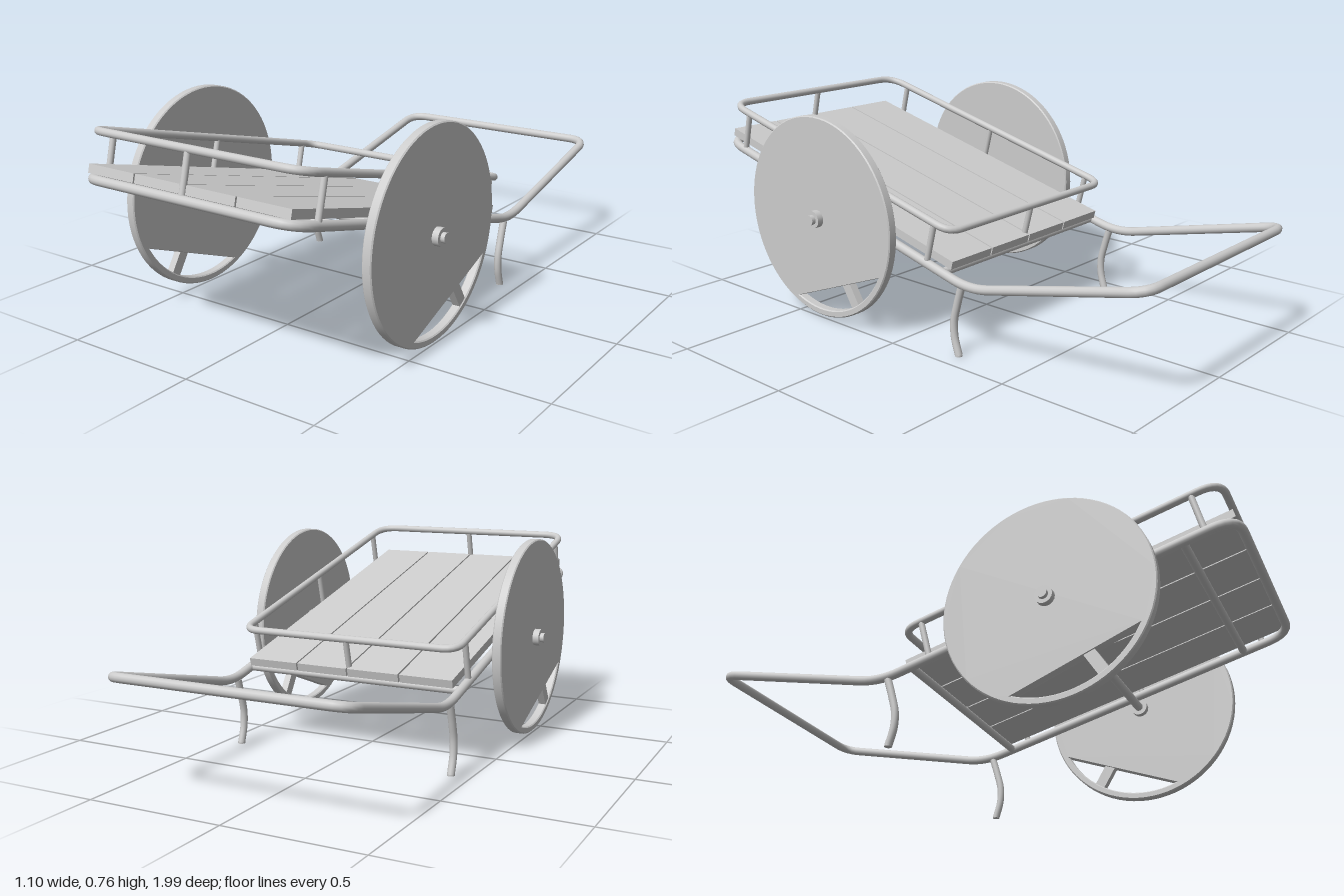
import * as THREE from 'three';
import { toCreasedNormals } from 'three/addons/utils/BufferGeometryUtils.js';

const grey = new THREE.MeshStandardMaterial({ color: 0xcccccc });
const V = (x, y, z) => new THREE.Vector3(x, y, z);

function add(parent, geometry, name) {
  const mesh = new THREE.Mesh(geometry, grey);
  mesh.name = name;
  parent.add(mesh);
  return mesh;
}

// Straight round bar between two points
function bar(parent, a, b, radius, name) {
  const mesh = add(parent, new THREE.CylinderGeometry(radius, radius, a.distanceTo(b), 16), name);
  mesh.position.copy(a).add(b).multiplyScalar(0.5);
  mesh.quaternion.setFromUnitVectors(V(0, 1, 0), b.clone().sub(a).normalize());
  return mesh;
}

// Closed bent pipe through corner points, each corner rounded by its own radius
function pipeLoop(parent, corners, radius, name) {
  const n = corners.length;
  const path = new THREE.CurvePath();
  const toward = (p, q, d) => p.clone().add(q.clone().sub(p).setLength(d));
  const bends = corners.map(([p, r], i) => {
    const prev = corners[(i + n - 1) % n][0], next = corners[(i + 1) % n][0];
    return [toward(p, prev, r), p, toward(p, next, r)];
  });
  bends.forEach(([a, p, b], i) => {
    path.add(new THREE.QuadraticBezierCurve3(a, p, b));
    path.add(new THREE.LineCurve3(b, bends[(i + 1) % n][0]));
  });
  return add(parent, new THREE.TubeGeometry(path, 260, radius, 14, true), name);
}

// Disc wheel with one open segment near the rim, crossed by a spoke
function makeWheel() {
  const wheel = new THREE.Group();
  const bevel = 0.004, width = 0.035;
  const shape = new THREE.Shape().absarc(0, 0, 0.372 - bevel, 0, Math.PI * 2);
  const opening = new THREE.Path();
  const from = THREE.MathUtils.degToRad(-112), to = THREE.MathUtils.degToRad(-26);
  opening.absarc(0, 0, 0.35, from, to);
  opening.closePath();
  shape.holes.push(opening);
  const disc = new THREE.ExtrudeGeometry(shape, {
    depth: width - 2 * bevel, bevelEnabled: true, bevelSize: bevel,
    bevelThickness: bevel, bevelSegments: 1, curveSegments: 40,
  });
  disc.translate(0, 0, bevel - width / 2);
  add(wheel, toCreasedNormals(disc, 0.5), 'wheelDisc');

  const spoke = add(wheel, new THREE.BoxGeometry(0.12, 0.04, 0.028), 'wheelSpoke');
  const angle = THREE.MathUtils.degToRad(-58);
  spoke.position.set(Math.cos(angle) * 0.295, Math.sin(angle) * 0.295, 0);
  spoke.rotation.z = angle;

  // Hub barrel and axle nut
  bar(wheel, V(0, 0, -0.041), V(0, 0, 0.041), 0.032, 'hub');
  bar(wheel, V(0, 0, 0.03), V(0, 0, 0.056), 0.018, 'axleNut');
  return wheel;
}

export function createModel() {
  const cart = new THREE.Group();
  cart.name = 'handCart';
  const side = 0.429, axleY = 0.387, axleZ = 0.362;

  // Lower frame pipe running on into the pull handle
  pipeLoop(cart, [
    [V(side, 0.575, 0.98), 0.09], [V(side, 0.25, -0.30), 0.08], [V(side, 0.408, -0.982), 0.07],
    [V(-side, 0.408, -0.982), 0.07], [V(-side, 0.25, -0.30), 0.08], [V(-side, 0.575, 0.98), 0.09],
  ], 0.0165, 'frameAndHandle');

  // Sloping bed: local z runs along the frame, local y is square to it
  const bed = new THREE.Group();
  bed.name = 'bed';
  bed.position.set(0, 0.4176, 0.36);
  bed.rotation.x = -Math.atan(0.254);
  cart.add(bed);

  const front = 0.637, back = -0.55, railY = 0.154;
  pipeLoop(bed, [
    [V(side, railY, front), 0.08], [V(side, railY, back), 0.06],
    [V(-side, railY, back), 0.06], [V(-side, railY, front), 0.08],
  ], 0.0135, 'guardRail');

  // Planks
  const plankWidth = 0.201, pitch = 0.207;
  for (let i = 0; i < 4; i++) {
    const plank = add(bed, new THREE.BoxGeometry(plankWidth, 0.03, 1.21), 'plank');
    plank.position.set((i - 1.5) * pitch, 0.032, 0.032);
  }

  // Cross bars under the planks
  for (const z of [0.455, back]) bar(bed, V(-side, 0, z), V(side, 0, z), 0.0145, 'crossBar');

  // Guard rail posts
  for (const x of [-side, side])
    for (const z of [0.533, 0.03, -0.477]) bar(bed, V(x, 0, z), V(x, railY, z), 0.011, 'sidePost');
  for (const z of [front, back]) bar(bed, V(0, 0, z), V(0, railY, z), 0.011, 'endPost');

  // Curved rest legs
  for (const x of [-side, side]) {
    const curve = new THREE.CatmullRomCurve3([
      V(x, 0.25, -0.262), V(x, 0.185, -0.243), V(x, 0.12, -0.228), V(x, 0.065, -0.23), V(x, 0.003, -0.248),
    ]);
    add(cart, new THREE.TubeGeometry(curve, 24, 0.0135, 14), 'restLeg');
    const foot = add(cart, new THREE.CylinderGeometry(0.0135, 0.0135, 0.006, 14), 'legFoot');
    foot.position.set(x, 0.003, -0.248);
  }

  // Axle and wheels
  bar(cart, V(-0.5, axleY, axleZ), V(0.5, axleY, axleZ), 0.0165, 'axle');
  for (const s of [1, -1]) {
    const wheel = makeWheel();
    wheel.name = s > 0 ? 'leftWheel' : 'rightWheel';
    wheel.position.set(s * 0.495, axleY, axleZ);
    wheel.rotation.y = s * Math.PI / 2;
    cart.add(wheel);
  }
  return cart;
}
